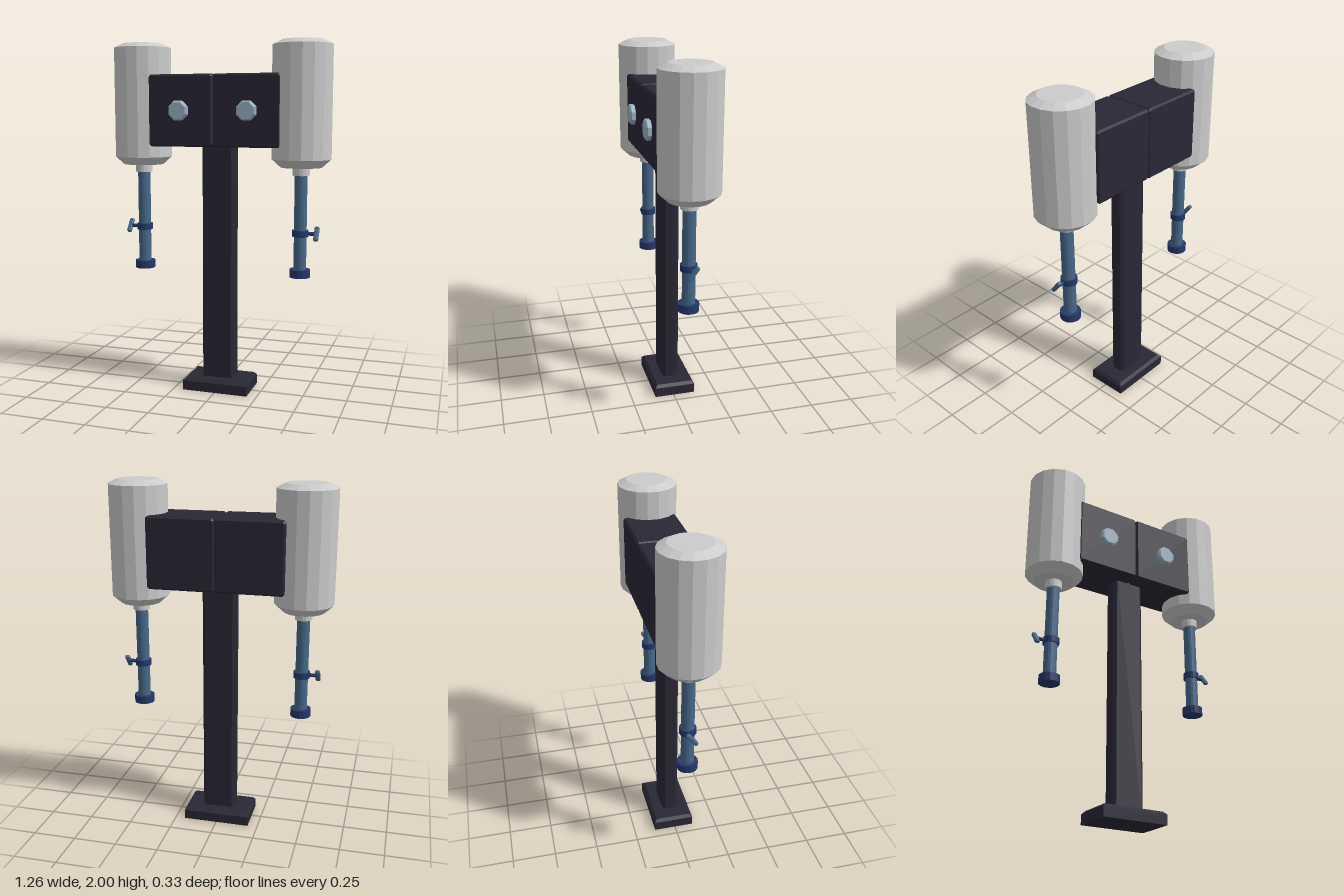
import * as THREE from 'three';

const material = (color) => new THREE.MeshStandardMaterial({ color, flatShading: true });

// Box with every edge chamfered by b
function chamferBox(w, h, d, b) {
  const x = w / 2 - b, y = h / 2 - b, c = b * 0.6;
  const s = new THREE.Shape([
    [x - c, -y], [x, c - y], [x, y - c], [x - c, y],
    [c - x, y], [-x, y - c], [-x, c - y], [c - x, -y],
  ].map(([px, py]) => new THREE.Vector2(px, py)));
  return new THREE.ExtrudeGeometry(s, {
    depth: d - 2 * b, bevelEnabled: true, bevelSize: b, bevelThickness: b, bevelSegments: 1,
  }).translate(0, 0, b - d / 2);
}

// Turned part from [radius, height] pairs
function lathe(points, sides) {
  const g = new THREE.LatheGeometry(points.map(([r, y]) => new THREE.Vector2(r, y)), sides);
  return g.rotateY(Math.PI / sides);
}

export function createModel() {
  const model = new THREE.Group();
  model.name = 'twinHangingTankStand';
  const grey = material(0xcccccc);
  const dark = material(0x292735);
  const blue = material(0x47698a);
  const navy = material(0x25386a);
  const steel = material(0x9ab2c2);

  function add(parent, name, geometry, mat, x = 0, y = 0, z = 0) {
    const mesh = new THREE.Mesh(geometry, mat);
    mesh.name = name;
    mesh.position.set(x, y, z);
    parent.add(mesh);
    return mesh;
  }

  // Foot plate with a chamfered upper rim
  const foot = new THREE.BoxGeometry(0.386, 0.072, 0.236, 1, 2, 1);
  const p = foot.attributes.position;
  for (let i = 0; i < p.count; i++) {
    if (Math.abs(p.getY(i)) < 0.001) p.setY(i, 0.02);
    else if (p.getY(i) > 0) p.setXYZ(i, p.getX(i) * 0.92, 0.036, p.getZ(i) * 0.87);
  }
  foot.computeVertexNormals();
  add(model, 'footPlate', foot, dark, 0, 0.036, -0.008);

  // Post with chamfered vertical edges
  const a = 0.096, b = 0.048, c = 0.018;
  const section = new THREE.Shape([
    [a - c, -b], [a, c - b], [a, b - c], [a - c, b],
    [c - a, b], [-a, b - c], [-a, c - b], [c - a, -b],
  ].map(([x, y]) => new THREE.Vector2(x, y)));
  const post = new THREE.ExtrudeGeometry(section, { depth: 1.38, bevelEnabled: false });
  add(model, 'post', post.rotateX(-Math.PI / 2), dark, 0, 0.06, -0.007);

  for (const side of [-1, 1]) {
    const prefix = side > 0 ? 'left' : 'right';

    // Cross-head block and its bolt
    add(model, prefix + 'HeadBlock', chamferBox(0.382, 0.4, 0.296, 0.01), dark, side * 0.191, 1.62, -0.013);
    const bolt = lathe([[0, 0], [0.058, 0], [0.058, 0.026], [0.048, 0.034], [0, 0.034]], 8);
    add(model, prefix + 'Bolt', bolt.rotateX(Math.PI / 2), steel, side * 0.196, 1.62, 0.131);

    const unit = new THREE.Group();
    unit.name = prefix + 'TankUnit';
    unit.position.set(side * 0.469, 0, -0.005);
    model.add(unit);

    // Tank with bevelled ends and a short neck
    add(unit, 'tank', lathe([
      [0, 1.31], [0.115, 1.31], [0.165, 1.355], [0.165, 1.975], [0.115, 2], [0, 2],
    ], 16), grey);
    add(unit, 'neck', new THREE.CylinderGeometry(0.048, 0.048, 0.06, 16), grey, 0, 1.295);

    // Hanging rod with collar and end cap
    add(unit, 'rod', new THREE.CylinderGeometry(0.036, 0.036, 0.56, 16), blue, 0, 1.0);
    add(unit, 'collar', new THREE.CylinderGeometry(0.046, 0.046, 0.036, 16), navy, 0, 0.942);
    add(unit, 'endCap', new THREE.CylinderGeometry(0.058, 0.058, 0.045, 16), navy, 0, 0.716);

    // Tilted wing screw pointing outwards
    const stem = new THREE.CylinderGeometry(0.011, 0.011, 0.06, 8).rotateZ(Math.PI / 2);
    add(unit, 'screwStem', stem, navy, side * 0.06, 0.942);
    const wing = add(unit, 'screwWing', chamferBox(0.027, 0.088, 0.022, 0.005), blue, side * 0.091, 0.942);
    wing.rotation.x = -0.65;
  }
  return model;
}
